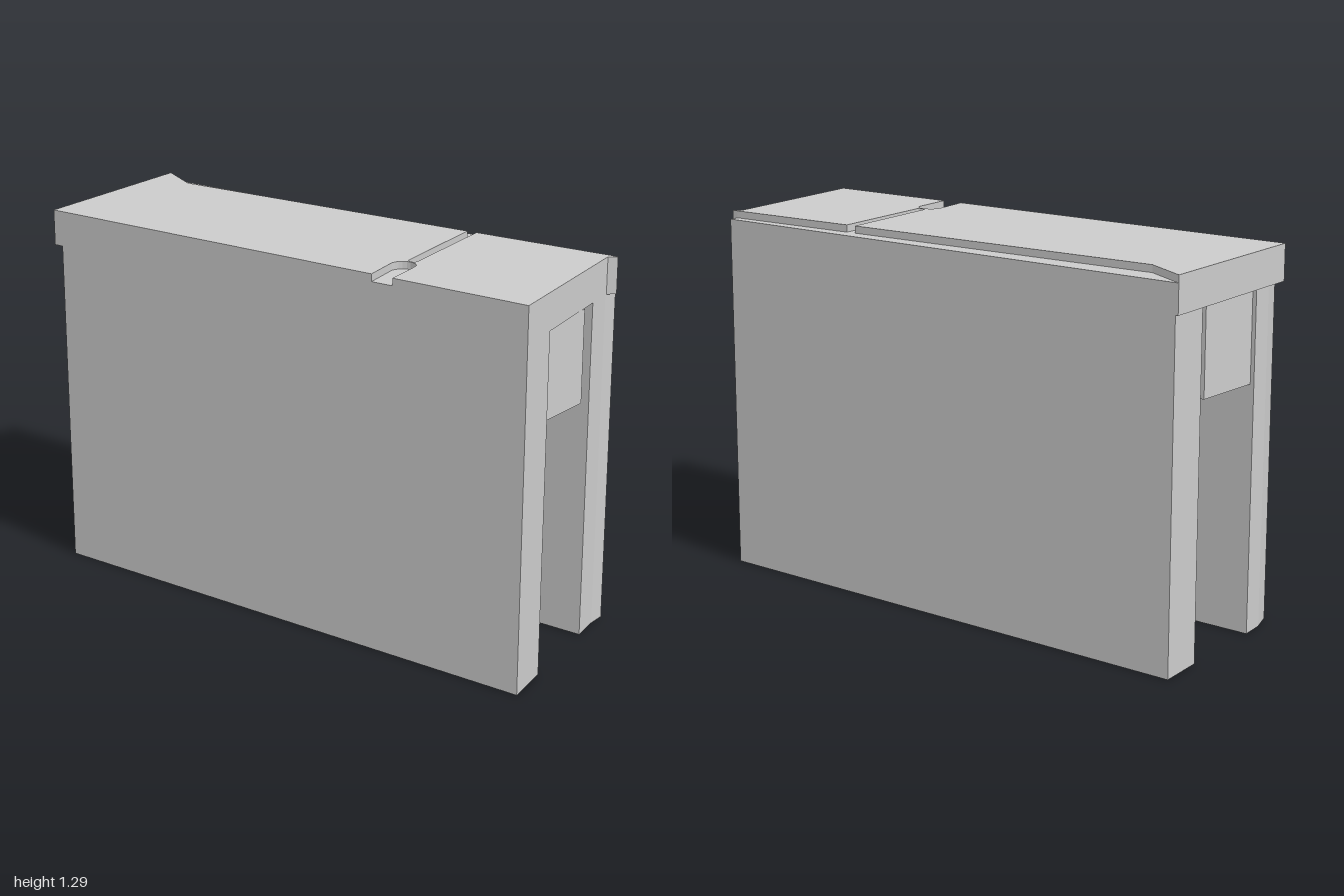
import * as THREE from 'three';

const W = 0.34;        // half width
const ROOF = 1.165;    // underside of roof
const LEDGE = 1.265;   // floor of grooves and side ledge
const TOP = 1.29;

const material = new THREE.MeshStandardMaterial({ color: 0xcccccc, flatShading: true });

// Upright prism from a plan outline of [x, z] corners
function prism(name, outline, y0, y1) {
  const shape = new THREE.Shape(outline.map(([x, z]) => new THREE.Vector2(x, -z)));
  const geometry = new THREE.ExtrudeGeometry(shape, { depth: y1 - y0, bevelEnabled: false });
  geometry.rotateX(-Math.PI / 2).translate(0, y0, 0);
  const mesh = new THREE.Mesh(geometry, material);
  mesh.name = name;
  return mesh;
}

// Rounded groove end, from the front side round to the back side
function roundEnd(cx, cz, r, bulge, steps) {
  const points = [];
  for (let i = 0; i <= steps; i++) {
    const a = Math.PI / 2 - (Math.PI * i) / steps;
    points.push([cx + bulge * Math.cos(a), cz + r * Math.sin(a)]);
  }
  return points;
}

export function createModel() {
  const model = new THREE.Group();
  model.name = 'channel';

  // Side walls, with slanted ends
  model.add(prism('wallPlusX', [
    [0.17, -0.975], [W, -0.99], [W, 0.91], [0.275, 0.91], [0.17, 0.925],
  ], 0, ROOF));
  model.add(prism('wallMinusX', [
    [-W, -0.915], [-0.26, -0.942], [-0.172, -0.952], [-0.172, 0.975], [-W, 1],
  ], 0, ROOF));

  // Roof slab
  model.add(prism('roof', [
    [-W, -0.95], [W, -1], [W, 0.91], [0.275, 0.91], [-W, 1],
  ], ROOF, LEDGE));

  // Raised top plate: side ledge and two cross grooves are cut out of its outline
  model.add(prism('topPlate', [
    [-W, -0.95], [W, -1], [0.25, -0.84], [0.285, 0.365],
    ...roundEnd(-0.135, 0.435, 0.016, -0.011, 6).reverse(),
    [0.287, 0.4], [0.305, 0.91], [0.275, 0.91], [-W, 1],
    [-W, 0.5],
    ...roundEnd(-0.195, 0.438, 0.043, 0.043, 10),
    [-W, 0.42],
  ], LEDGE, TOP));

  // Small fin at the front end of the ledge
  model.add(prism('frontFin', [
    [0.28, 0.909], [0.305, 0.905], [0.303, 0.935],
  ], ROOF, TOP));

  // Inner bar hanging under the roof along one wall
  model.add(prism('innerBar', [
    [-0.172, -0.938], [0.095, -0.938], [0.095, 0.94], [-0.172, 0.94],
  ], 0.85, ROOF));

  return model;
}
